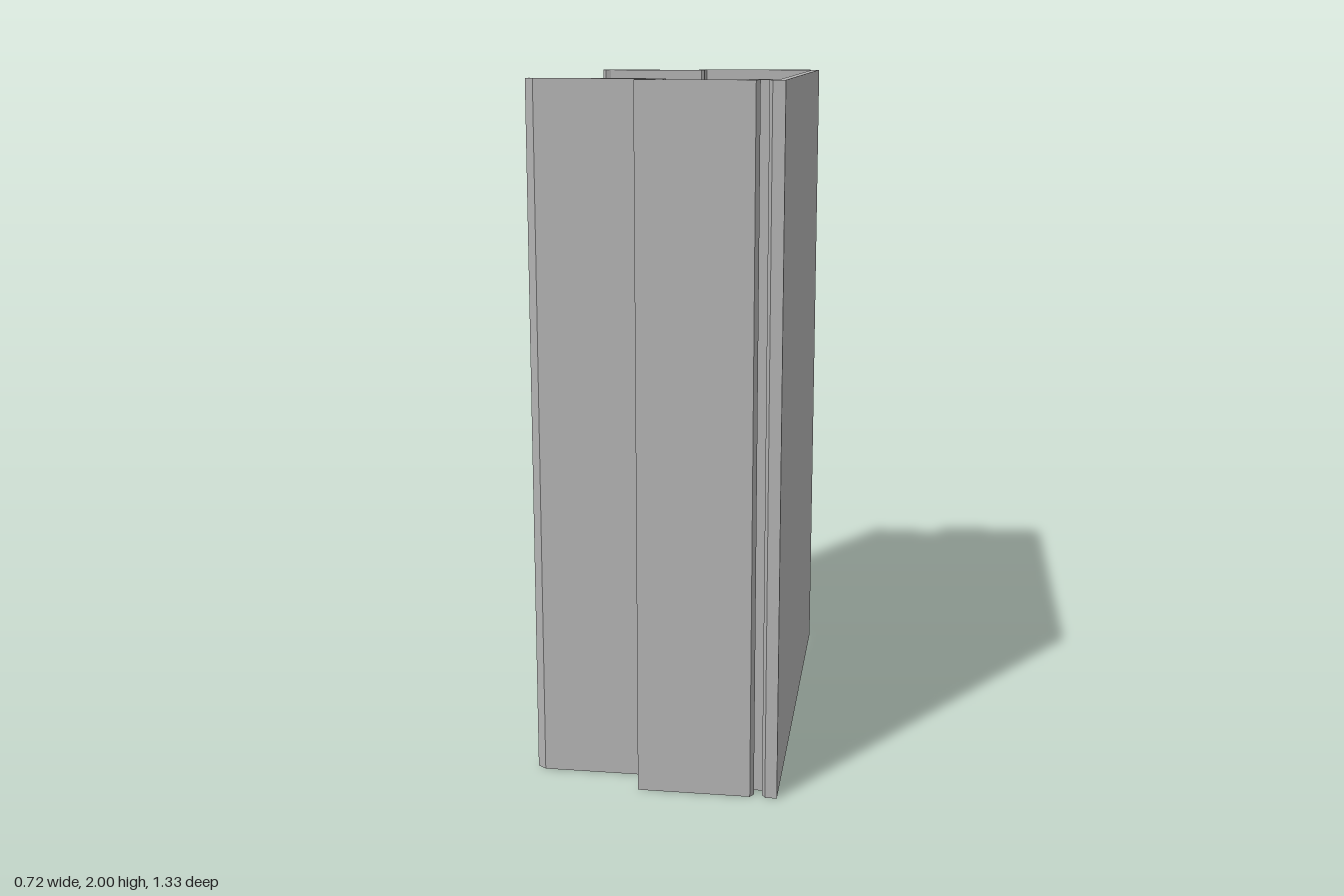
import * as THREE from 'three';

const HEIGHT = 2;

// Cross-section of the channel as [x, z] corners, walked once around
const profile = [
  // outer web face
  [-0.042, -0.667], [0.357, -0.667], [0.357, 0.662],
  // undercut slot beside the front corner
  [0.323, 0.662], [0.313, 0.645], [0.323, 0.645], [0.323, 0.624], [0.316, 0.617],
  [0.284, 0.617], [0.277, 0.624], [0.277, 0.645], [0.29, 0.645], [0.28, 0.662],
  // front flange and its clip groove
  [-0.042, 0.662], [-0.042, 0.648], [-0.02, 0.633], [-0.02, 0.641], [-0.002, 0.641],
  [0.005, 0.634], [0.005, 0.58], [-0.002, 0.572], [-0.02, 0.572], [-0.02, 0.581],
  [-0.042, 0.568], [-0.042, 0.563],
  // front arm with bent tip
  [-0.335, 0.563], [-0.36, 0.545], [-0.36, 0.536], [-0.35, 0.533], [-0.335, 0.542],
  [0.018, 0.542], [0.027, 0.551], [0.027, 0.633], [0.034, 0.64],
  // inner face of the front flange
  [0.15, 0.64], [0.155, 0.643], [0.2, 0.643], [0.205, 0.64],
  [0.247, 0.64], [0.255, 0.632], [0.255, 0.595], [0.329, 0.595], [0.336, 0.588],
  // inner web face with two scribe grooves
  [0.336, 0.43], [0.34, 0.425], [0.336, 0.42],
  [0.336, -0.37], [0.34, -0.375], [0.336, -0.38],
  // back flange, step and hooked arm
  [0.336, -0.64], [0.329, -0.647], [-0.02, -0.647], [-0.02, -0.581], [-0.028, -0.573],
  [-0.335, -0.573], [-0.35, -0.565], [-0.36, -0.567], [-0.36, -0.576],
  [-0.335, -0.613], [-0.326, -0.611], [-0.326, -0.603], [-0.333, -0.595], [-0.042, -0.595],
];

export function createModel() {
  const aluminium = new THREE.MeshStandardMaterial({ color: 0xb3b3b3 });
  aluminium.name = 'aluminium grey';

  const shape = new THREE.Shape(profile.map(([x, z]) => new THREE.Vector2(x, z)));
  const geometry = new THREE.ExtrudeGeometry(shape, { depth: HEIGHT, bevelEnabled: false });
  // Stand the extrusion upright on the ground
  geometry.rotateX(Math.PI / 2).translate(0, HEIGHT, 0);

  const channel = new THREE.Mesh(geometry, aluminium);
  channel.name = 'channelProfile';

  const group = new THREE.Group();
  group.name = 'extrudedChannel';
  group.add(channel);
  return group;
}
